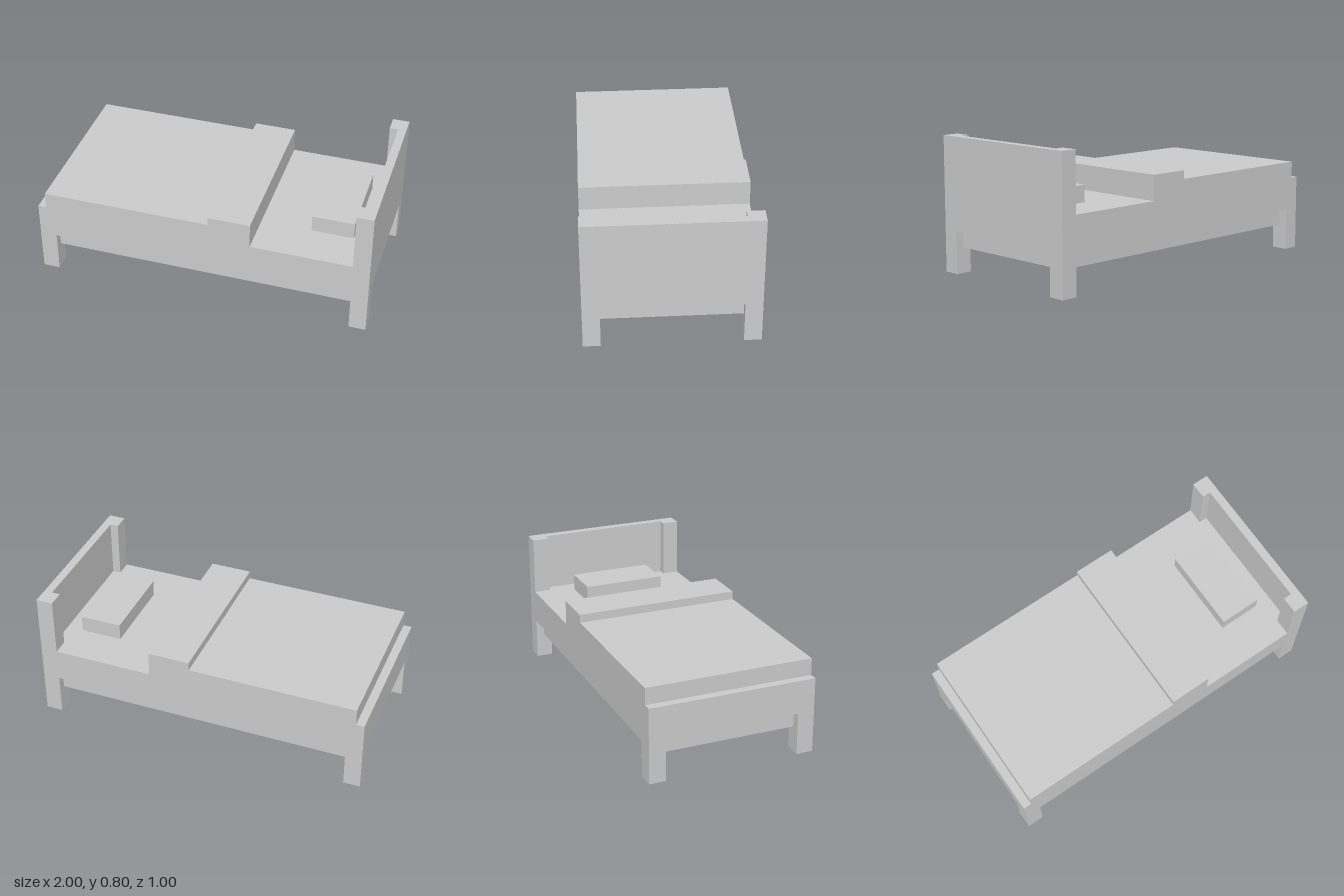
import * as THREE from 'three';

const material = new THREE.MeshStandardMaterial({ color: 0xcccccc, flatShading: true });

// Box given by its min and max corners
function box(name, [x0, y0, z0], [x1, y1, z1]) {
  const geometry = new THREE.BoxGeometry(x1 - x0, y1 - y0, z1 - z0);
  geometry.translate((x0 + x1) / 2, (y0 + y1) / 2, (z0 + z1) / 2);
  const mesh = new THREE.Mesh(geometry, material);
  mesh.name = name;
  return mesh;
}

// Straight extrusion of a 2D outline along +z
function prism(points, depth) {
  const shape = new THREE.Shape(points.map(([x, y]) => new THREE.Vector2(x, y)));
  return new THREE.ExtrudeGeometry(shape, { depth, bevelEnabled: false });
}

export function createModel() {
  const bed = new THREE.Group();
  bed.name = 'bed';

  // Bed base slab
  bed.add(box('base', [-1, 0.25, -0.5], [1, 0.45, 0.5]));

  // Blanket with its raised folded edge, one side profile across the full width
  const blanketGeometry = prism([
    [-0.95, 0.45], [0.3, 0.45], [0.3, 0.6], [0.05, 0.6], [0.05, 0.55], [-0.95, 0.55],
  ], 1);
  blanketGeometry.translate(0, 0, -0.5);
  const blanket = new THREE.Mesh(blanketGeometry, material);
  blanket.name = 'blanket';
  bed.add(blanket);

  // Pillow
  bed.add(box('pillow', [0.6, 0.45, -0.25], [0.85, 0.55, 0.25]));

  // Headboard: a U-shaped plan (panel plus two posts) raised to full height
  const headboardGeometry = prism([
    [0.9, -0.5], [1, -0.5], [1, 0.5], [0.9, 0.5],
    [0.9, 0.4], [0.95, 0.4], [0.95, -0.4], [0.9, -0.4],
  ], 0.35);
  headboardGeometry.rotateX(-Math.PI / 2).translate(0, 0.45, 0);
  const headboard = new THREE.Mesh(headboardGeometry, material);
  headboard.name = 'headboard';
  bed.add(headboard);

  // Corner legs and the recessed rails between them
  for (const s of [-1, 1]) {
    for (const t of [-1, 1]) {
      const cx = s * 0.95, cz = t * 0.45;
      bed.add(box('leg', [cx - 0.05, 0, cz - 0.05], [cx + 0.05, 0.25, cz + 0.05]));
    }
    const rz = s * 0.425, rx = s * 0.925;
    bed.add(box('sideRail', [-0.9, 0.15, rz - 0.025], [0.9, 0.25, rz + 0.025]));
    bed.add(box('endRail', [rx - 0.025, 0.15, -0.4], [rx + 0.025, 0.25, 0.4]));
  }

  return bed;
}
